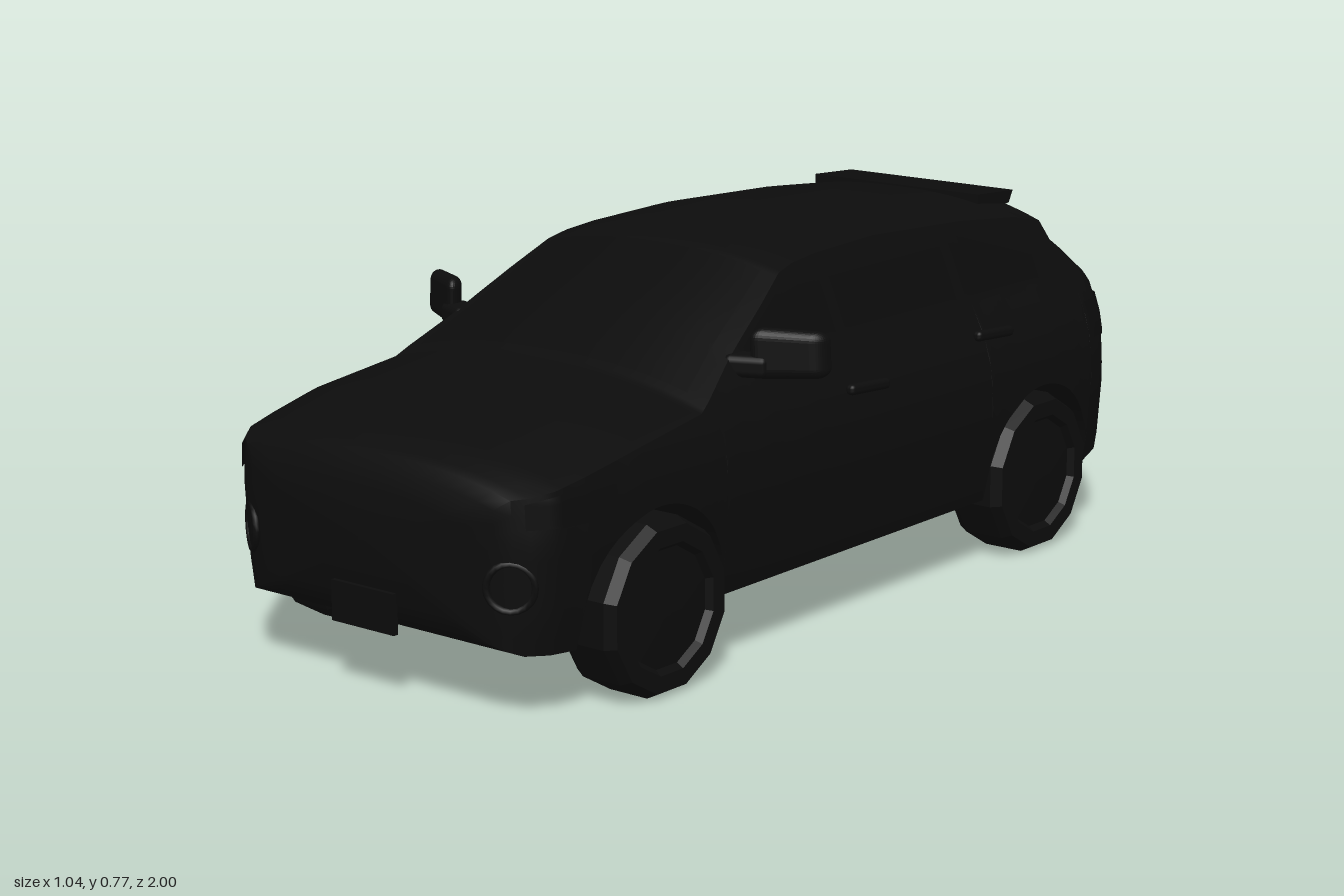
import * as THREE from 'three';
import { toCreasedNormals } from 'three/addons/utils/BufferGeometryUtils.js';
import { RoundedBoxGeometry } from 'three/addons/geometries/RoundedBoxGeometry.js';

// Piecewise-linear curve through [position, value] pairs in ascending order
const curve = (pts) => (t) => {
  if (t <= pts[0][0]) return pts[0][1];
  for (let i = 1; i < pts.length; i++) {
    const [a, va] = pts[i - 1], [b, vb] = pts[i];
    if (t <= b) return va + (vb - va) * (t - a) / (b - a);
  }
  return pts[pts.length - 1][1];
};

// Body rules along the length (z) and the height (y)
const topY = curve([[-0.995, 0.45], [-0.985, 0.49], [-0.975, 0.54], [-0.96, 0.56], [-0.8, 0.695], [-0.785, 0.735],
  [-0.5, 0.76], [-0.2, 0.772], [0, 0.765], [0.08, 0.757], [0.13, 0.745], [0.3, 0.657], [0.49, 0.555], [0.7, 0.527],
  [0.9, 0.487], [0.96, 0.46], [0.98, 0.43], [0.99, 0.4]]);
const bottomY = curve([[-0.995, 0.28], [-0.985, 0.24], [-0.955, 0.18], [-0.84, 0.153], [-0.45, 0.145],
  [0.45, 0.14], [0.84, 0.125], [0.95, 0.13], [0.975, 0.15], [0.99, 0.19]]);
const crown = curve([[-0.97, 0.04], [-0.8, 0.05], [-0.7, 0.037], [0.13, 0.037], [0.49, 0.05], [0.9, 0.05], [0.99, 0.03]]);
const planScale = curve([[-0.995, 0.52], [-0.985, 0.68], [-0.97, 0.79], [-0.95, 0.88], [-0.9, 0.955], [-0.83, 0.99], [-0.7, 1],
  [0.7, 1], [0.83, 0.965], [0.9, 0.935], [0.95, 0.85], [0.975, 0.73], [0.99, 0.52]]);
const widthAt = curve([[0.12, 0.403], [0.2, 0.418], [0.34, 0.429], [0.42, 0.424], [0.47, 0.413], [0.52, 0.393],
  [0.58, 0.358], [0.66, 0.325], [0.735, 0.288]]);
const AXLE_Y = 0.168, AXLES = [0.64, -0.64], ARCH = 0.195;

const sideX = (z, y) => planScale(z) * widthAt(y);
const edgeY = (z) => topY(z) - crown(z);
const roofPoint = (z, f) => [f * sideX(z, edgeY(z)), topY(z) - crown(z) * Math.abs(f) ** 2.5];
const sillY = (z) => AXLES.reduce((y, c) => Math.abs(z - c) < ARCH
  ? Math.max(y, AXLE_Y + Math.sqrt(ARCH ** 2 - (z - c) ** 2)) : y, bottomY(z));

// One closed body ring, counter-clockwise from the bottom centre
function section(z) {
  const bottom = bottomY(z), sill = sillY(z), edge = edgeY(z);
  const inner = Math.min(0.28, 0.85 * sideX(z, sill));
  const half = [[0, bottom], [inner, bottom], [inner, sill]];
  for (let i = 0; i <= 10; i++) {
    const y = sill + (edge - sill) * i / 10;
    half.push([sideX(z, y), y]);
  }
  for (let i = 7; i >= 0; i--) half.push(roofPoint(z, i / 8));
  return half.concat(half.slice(1, -1).reverse().map(([x, y]) => [-x, y]));
}

function bodyGeometry() {
  const zs = [-0.995, -0.985, -0.975, -0.785, 0.13, 0.49, 0.975, 0.99];
  for (let z = -0.96; z < 0.97; z += 0.02) zs.push(z);
  for (const c of AXLES) for (const s of [-1, 1]) zs.push(c + s * ARCH, c + s * (ARCH - 0.0005), c + s * (ARCH - 0.006));
  zs.sort((a, b) => a - b);
  const pos = [], index = [], n = section(0).length, last = (zs.length - 1) * n;
  for (const z of zs) for (const [x, y] of section(z)) pos.push(x, y, z);
  for (let i = 0; i < zs.length - 1; i++) for (let j = 0; j < n; j++) {
    const a = i * n + j, b = i * n + (j + 1) % n;
    index.push(a, b, b + n, a, b + n, a + n);
  }
  // Nose and tail caps
  const back = pos.length / 3;
  pos.push(0, 0.36, zs[0] - 0.003, 0, 0.3, zs[zs.length - 1] + 0.003);
  for (let j = 0; j < n; j++) {
    const k = (j + 1) % n;
    index.push(back, k, j, back + 1, last + j, last + k);
  }
  const g = new THREE.BufferGeometry();
  g.setAttribute('position', new THREE.Float32BufferAttribute(pos, 3));
  g.setIndex(index);
  return toCreasedNormals(g, 0.6);
}

// Thin sheet from a rule point(u, v) -> [x, y, z]
function sheet(point, nu = 16, nv = 8) {
  const g = new THREE.PlaneGeometry(1, 1, nu, nv), p = g.attributes.position, uv = g.attributes.uv;
  for (let i = 0; i < p.count; i++) p.setXYZ(i, ...point(uv.getX(i), uv.getY(i)));
  g.computeVertexNormals();
  return g;
}
const sidePanel = (side, z0, z1, low, high) => sheet((u, v) => {
  const z = z0 + (z1 - z0) * u, y = low(z) + (high(z) - low(z)) * v;
  return [side * (sideX(z, y) + 0.004), y, z];
});
const topPanel = (z0, z1, f) => sheet((u, v) => {
  const z = z0 + (z1 - z0) * v, [x, y] = roofPoint(z, f * (2 * u - 1));
  return [x, y + 0.005, z];
});

export function createModel() {
  const car = new THREE.Group();
  car.name = 'car';
  const material = (name, color) => Object.assign(new THREE.MeshStandardMaterial({ color }), { name });
  const paint = material('black paint', 0x0c0c0c);
  const glass = material('black glass', 0x0b0b0b);
  glass.side = THREE.DoubleSide;
  const rubber = material('black rubber', 0x0c0c0c);
  const add = (name, geometry, mat, x = 0, y = 0, z = 0) => {
    const m = new THREE.Mesh(geometry, mat);
    m.name = name;
    m.position.set(x, y, z);
    car.add(m);
    return m;
  };

  add('body', bodyGeometry(), paint);
  add('windshield', topPanel(0.15, 0.47, 0.88), glass);
  add('rearWindow', topPanel(-0.93, -0.81, 0.8), glass);

  // Roof spoiler overhanging the tailgate
  const lip = new THREE.Shape([[0.68, 0.748], [0.815, 0.741], [0.8, 0.715], [0.68, 0.7]].map((p) => new THREE.Vector2(...p)));
  const spoiler = new THREE.ExtrudeGeometry(lip, { depth: 0.44, bevelEnabled: false });
  spoiler.translate(0, 0, -0.22).rotateY(Math.PI / 2);
  add('spoiler', spoiler, paint);

  add('frontPlate', new THREE.BoxGeometry(0.16, 0.08, 0.012), paint, 0, 0.17, 0.994);

  // Wheel profile from the inner face to the dished outer face
  const wheel = toCreasedNormals(new THREE.LatheGeometry([[0, -0.066], [0.162, -0.066], [0.174, -0.045], [0.174, 0.045],
    [0.162, 0.068], [0.128, 0.068], [0.118, 0.055], [0.03, 0.06], [0, 0.06]].map((p) => new THREE.Vector2(...p)),
    12, Math.PI / 12), 0.4);

  const belt = (z) => 0.555 - 0.025 * z;
  const windowTop = (z) => Math.min(0.705, edgeY(z) - 0.012, 0.705 - Math.max(0, -0.45 - z) * 0.3);
  const windows = [['frontWindow', 0.02, 0.31], ['rearDoorWindow', -0.4, -0.01], ['quarterWindow', -0.71, -0.43]];

  for (const side of [1, -1]) {
    const label = side > 0 ? 'left ' : 'right ';
    AXLES.forEach((z, i) => {
      const w = add(label + (i ? 'rear wheel' : 'front wheel'), wheel, rubber, side * (i ? 0.362 : 0.381), AXLE_Y, z);
      w.rotation.z = -side * Math.PI / 2;
    });
    for (const [name, z0, z1] of windows) add(label + name, sidePanel(side, z0, z1, belt, windowTop), glass);
    add(label + 'headlamp', sidePanel(side, 0.76, 0.95, () => 0.37, (z) => edgeY(z) - 0.008), glass);
    add(label + 'tail lamp', sidePanel(side, -0.96, -0.84, () => 0.43, () => 0.51), glass);

    // Fog lamp ring on the bumper corner
    const fog = add(label + 'fog lamp', new THREE.TorusGeometry(0.045, 0.007, 6, 20), paint, side * 0.335, 0.26, 0.958);
    fog.rotation.y = side * 0.6;

    // Door handles
    for (const [z, y] of [[-0.015, 0.47], [-0.475, 0.5]]) {
      const h = add(label + 'door handle', new RoundedBoxGeometry(0.022, 0.022, 0.13, 2, 0.009), paint, side * (sideX(z, y) + 0.004), y, z);
      h.rotation.x = -0.06;
    }

    // Wing mirror: swept head with a tapered inner end, on a short stalk
    const head = new RoundedBoxGeometry(0.13, 0.1, 0.045, 4, 0.022);
    const p = head.attributes.position;
    for (let i = 0; i < p.count; i++) {
      const out = p.getX(i) * side;
      const squeeze = 1 - 0.12 * Math.max(0, out / 0.065);
      p.setXYZ(i, p.getX(i) - side * 0.12 * (p.getY(i) < 0 ? p.getY(i) * 0.8 : 0), p.getY(i) * squeeze, p.getZ(i) - out * 0.55);
    }
    head.computeVertexNormals();
    add(label + 'mirror', head, paint, side * 0.45, 0.592, 0.285);
    const stalk = add(label + 'mirror stalk', new RoundedBoxGeometry(0.09, 0.045, 0.06, 2, 0.015), paint, side * 0.375, 0.567, 0.32);
    stalk.rotation.y = side * 0.4;
  }
  return car;
}
